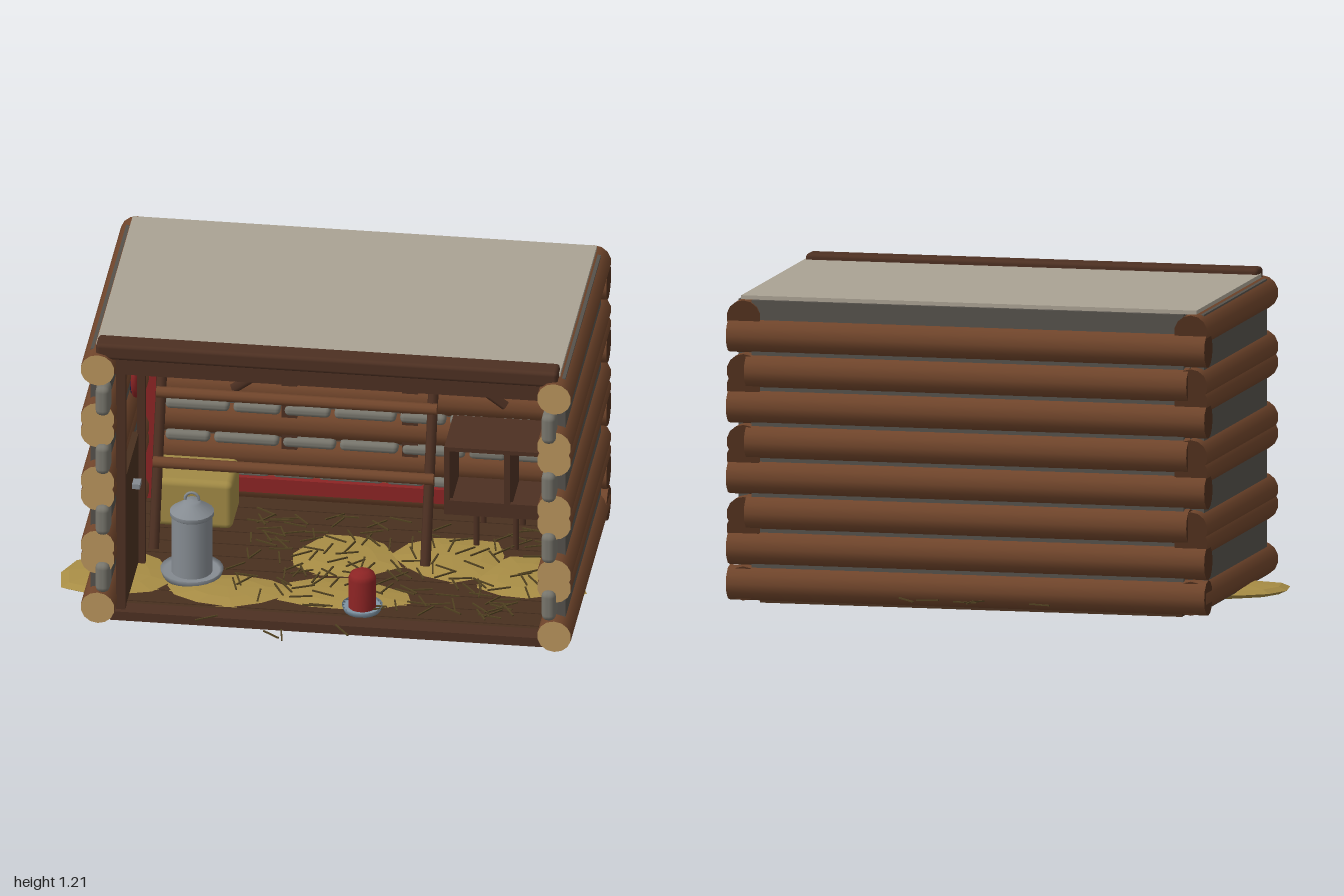
import * as THREE from 'three';
import { RoundedBoxGeometry } from 'three/addons/geometries/RoundedBoxGeometry.js';

const mat = (color, flatShading = false) => new THREE.MeshStandardMaterial({ color, flatShading });
const M = {
  bark: mat(0x70452b), cut: mat(0xb8935c, true), endGrain: mat(0x50301d, true),
  dark: mat(0x4d3022), plank: mat(0x49301f), chink: mat(0x55514b), stone: mat(0x77756c),
  roof: mat(0xaaa293), red: mat(0x8c2424), straw: mat(0xa88d45, true), stick: mat(0x4f4020),
  hay: mat(0xa18a45), metal: mat(0x858b91), pan: mat(0x8095a5), blue: mat(0x1c2a55),
  white: mat(0xd0d0d0), glow: mat(0xd0b46a), iron: mat(0x2a2826),
};

export function createModel() {
  const root = new THREE.Group();
  root.name = 'logCoop';

  const add = (name, geo, material, x, y, z, parent = root) => {
    const m = new THREE.Mesh(geo, material);
    m.name = name;
    m.position.set(x, y, z);
    parent.add(m);
    return m;
  };
  // box given by its extents on each axis
  const box = (name, material, [x0, x1], [y0, y1], [z0, z1]) =>
    add(name, new THREE.BoxGeometry(x1 - x0, y1 - y0, z1 - z0), material,
      (x0 + x1) / 2, (y0 + y1) / 2, (z0 + z1) / 2);
  // round bar between two points
  const bar = (name, material, a, b, r, sides = 8) => {
    const p = new THREE.Vector3(...a), q = new THREE.Vector3(...b);
    const m = add(name, new THREE.CylinderGeometry(r, r, p.distanceTo(q), sides), material, 0, 0, 0);
    m.position.copy(p).add(q).multiplyScalar(0.5);
    m.quaternion.setFromUnitVectors(new THREE.Vector3(0, 1, 0), q.sub(p).normalize());
    return m;
  };
  let seed = 7;
  const rand = (a = 0, b = 1) => {
    seed = (seed * 16807) % 2147483647;
    return a + (b - a) * seed / 2147483647;
  };

  const LEFT = 0.93, RIGHT = -0.81, MID = 0.06, R = 0.065;

  // side walls: single logs at top and bottom, overlapping pairs between
  const sideRows = [0.105, 0.315, 0.37, 0.585, 0.645, 0.855, 0.915, 1.12];
  for (const x of [RIGHT, LEFT]) {
    for (const y of sideRows) {
      const log = bar('sideLog', M.bark, [x, y, -0.565], [x, y, 0.565], R, 14);
      log.material = [M.bark, M.cut, M.endGrain];
    }
    box('sideChinking', M.chink, [x - 0.035, x + 0.035], [0.05, 1.18], [-0.5, 0.505]);
    const inward = Math.sign(MID - x);
    box('sideSill', M.roof, [x + inward * 0.03 - 0.04, x + inward * 0.03 + 0.04], [0.035, 0.05], [-0.5, 0.5]);
    // upright stones closing the gaps at the front
    for (const y of [0.24, 0.485, 0.745, 0.995]) {
      add('frontStone', new RoundedBoxGeometry(0.055, 0.125, 0.09, 2, 0.024), M.stone,
        x - Math.sign(x) * 0.02, y, 0.545);
    }
  }

  // back wall: every second log runs past the corners
  for (let i = 0; i < 8; i++) {
    const y = 1.05 - i * 0.135;
    const past = i % 2 === 0 || i === 7;
    const x0 = past ? -0.87 : -0.8, x1 = past ? 0.99 : 0.92;
    const log = bar('backLog', M.bark, [x0, y, -0.53], [x1, y, -0.53], 0.067, 12);
    log.material = [M.bark, M.endGrain, M.endGrain];
    if (i === 7) break;
    // rounded filler stones between rows
    for (let x = -0.7; x < 0.8;) {
      const w = rand(0.15, 0.27);
      const len = Math.min(w, 0.85 - x);
      add('fillerStone', new RoundedBoxGeometry(len - 0.015, 0.042, 0.05, 2, 0.018), M.stone,
        x + len / 2, y - 0.0675, -0.488);
      x += w;
    }
  }
  box('backPanel', M.chink, [-0.78, 0.9], [0.05, 1.185], [-0.555, -0.515]);
  for (const x of [-0.22, 0.24]) box('backBatten', M.dark, [x - 0.03, x + 0.03], [0.08, 1.1], [-0.5, -0.475]);

  // roof, header and front beam
  box('roof', M.roof, [-0.825, 0.945], [1.185, 1.2], [-0.535, 0.5]);
  box('ceiling', M.dark, [-0.78, 0.9], [1.165, 1.184], [-0.51, 0.48]);
  add('roofBeam', new RoundedBoxGeometry(1.76, 0.065, 0.09, 2, 0.015), M.dark, MID, 1.19, 0.505);
  box('header', M.dark, [-0.76, 0.88], [1.08, 1.16], [0.45, 0.51]);

  // floor planks and sill
  for (let i = 0; i < 10; i++) {
    const z = -0.5 + i * 0.1;
    box('floorPlank', M.plank, [-0.76, 0.88], [0.025, 0.055], [z, z + 0.094]);
  }
  box('floorCore', M.plank, [-0.75, 0.87], [0.032, 0.046], [-0.5, 0.5]);
  box('frontSill', M.dark, [-0.77, 0.89], [0.025, 0.062], [0.43, 0.505]);

  // red trim
  box('redBase', M.red, [-0.74, 0.87], [0.1, 0.16], [-0.475, -0.445]);
  box('redPost', M.red, [-0.765, -0.72], [0.06, 1.08], [-0.475, -0.42]);
  box('redPost', M.red, [0.82, 0.88], [0.06, 1.08], [-0.475, -0.42]);

  // straw heaps, flattened and uneven
  const heaps = [[0.75, 0.02, 0.22, 0.2], [0.45, -0.1, 0.25, 0.21], [0.05, -0.06, 0.24, 0.2],
    [0.08, 0.24, 0.3, 0.15], [-0.36, 0.26, 0.28, 0.15], [-0.77, 0.18, 0.23, 0.2]];
  for (const [x, z, rx, rz] of heaps) {
    const geo = new THREE.SphereGeometry(1, 11, 6);
    const p = geo.attributes.position;
    for (let i = 0; i < p.count; i++) {
      const a = Math.atan2(p.getZ(i), p.getX(i));
      const k = 1 + 0.09 * Math.sin(a * 3 + x * 9) + 0.05 * Math.sin(a * 5 + z * 7);
      p.setXYZ(i, p.getX(i) * k, p.getY(i), p.getZ(i) * k);
    }
    geo.computeVertexNormals();
    add('strawHeap', geo, M.straw, x, 0.04, z).scale.set(rx, 0.029, rz);
  }
  // loose straws
  const straw = (x, z, angle) => {
    const s = add('looseStraw', new THREE.BoxGeometry(0.09, 0.005, 0.006), M.stick, x, 0.073, z);
    s.rotation.set(0, angle, rand(-0.07, 0.07));
  };
  for (let i = 0; i < 150; i++) straw(rand(-0.35, 0.82), rand(-0.35, 0.38), rand(0, 3.14));
  for (const [x, z, a] of [[-0.24, -0.64, -0.35], [0.03, -0.64, 1.55], [0.05, -0.64, 0], [0.02, -0.62, 0.8],
    [0.2, -0.62, -0.15], [0.28, -0.63, -0.7], [-0.14, 0.63, -0.75], [-0.1, 0.63, -1.4],
    [-0.4, 0.53, 0.5], [0.12, 0.56, -0.9]]) straw(x, z, a);

  // leaning perch ladder
  for (const x of [-0.675, 0.36]) bar('perchPost', M.dark, [x, 0.06, -0.02], [x, 0.86, -0.31], 0.02);
  bar('perchRung', M.bark, [-0.69, 0.38, -0.115], [0.38, 0.38, -0.115], 0.022, 10);
  bar('perchRung', M.bark, [-0.69, 0.63, -0.21], [0.38, 0.63, -0.21], 0.022, 10);
  for (const [x, d] of [[-0.32, -1], [0.5, 1]])
    bar('perchBrace', M.dark, [x, 0.62, -0.44], [x + d * 0.11, 0.54, -0.44], 0.02, 4);

  // nest boxes on legs
  box('nestTray', M.dark, [0.41, 0.89], [0.2, 0.225], [-0.44, -0.18]);
  box('nestLip', M.dark, [0.41, 0.89], [0.2, 0.26], [-0.2, -0.18]);
  box('nestTop', M.dark, [0.41, 0.89], [0.47, 0.487], [-0.44, -0.18]);
  for (const x of [0.42, 0.65, 0.88]) box('nestDivider', M.dark, [x - 0.011, x + 0.011], [0.2, 0.48], [-0.44, -0.18]);
  for (const x of [0.53, 0.68, 0.84]) for (const z of [-0.41, -0.21])
    bar('nestLeg', M.dark, [x, 0.05, z], [x, 0.2, z], 0.012, 6);

  // door panel along the right wall
  box('doorPanel', M.plank, [-0.74, -0.715], [0.07, 0.62], [0.1, 0.47]);
  box('doorPost', M.dark, [-0.75, -0.715], [0.05, 1.08], [0.455, 0.485]);
  box('doorPost', M.dark, [-0.72, -0.69], [0.05, 1.08], [0.085, 0.115]);
  box('doorLatch', M.metal, [-0.715, -0.685], [0.48, 0.5], [0.25, 0.3]);

  // round wall plaque
  const plaque = new THREE.Group();
  plaque.name = 'wallPlaque';
  plaque.position.set(-0.745, 0.83, -0.02);
  plaque.rotation.y = Math.PI / 2;
  root.add(plaque);
  add('plaqueRim', new THREE.TorusGeometry(0.1, 0.015, 8, 24), M.red, 0, 0, 0.01, plaque);
  add('plaqueDisc', new THREE.CylinderGeometry(0.1, 0.1, 0.016, 24), M.blue, 0, 0, 0, plaque).rotation.x = Math.PI / 2;
  add('plaqueBar', new THREE.BoxGeometry(0.18, 0.035, 0.01), M.white, 0, 0, 0.008, plaque);
  add('plaqueBar', new THREE.BoxGeometry(0.035, 0.18, 0.01), M.white, 0, 0, 0.008, plaque);

  // hay bale
  add('hayBale', new RoundedBoxGeometry(0.31, 0.2, 0.22, 3, 0.025), M.hay, -0.555, 0.16, -0.31);

  // lathe helper for the turned metal pieces
  const turned = (name, pts, material, x, z) =>
    add(name, new THREE.LatheGeometry(pts.map(p => new THREE.Vector2(...p)), 20), material, x, 0, z);

  // feeder
  turned('feederPan', [[0, 0.055], [0.11, 0.055], [0.12, 0.085], [0.105, 0.075], [0, 0.075]], M.metal, -0.505, 0.16);
  turned('feederBody', [[0.078, 0.07], [0.078, 0.31], [0.078, 0.31], [0.084, 0.315], [0.084, 0.33],
    [0.084, 0.33], [0.035, 0.365], [0.03, 0.375], [0, 0.378]], M.metal, -0.505, 0.16);
  add('feederHandle', new THREE.TorusGeometry(0.026, 0.006, 6, 16), M.metal, -0.505, 0.38, 0.16);

  // drinker
  turned('drinkerPan', [[0, 0.055], [0.07, 0.055], [0.078, 0.077], [0.068, 0.07], [0, 0.07]], M.pan, 0.17, 0.35);
  turned('drinkerBody', [[0.053, 0.065], [0.053, 0.19], [0.045, 0.21], [0.025, 0.222], [0, 0.224]], M.red, 0.17, 0.35);

  // hanging lantern
  bar('lanternWire', M.iron, [0.655, 0.96, 0], [0.655, 1.17, 0], 0.003, 5);
  bar('lanternGlass', M.glow, [0.655, 0.84, 0], [0.655, 0.95, 0], 0.032, 12);
  for (const y of [0.835, 0.957]) bar('lanternCap', M.iron, [0.655, y - 0.008, 0], [0.655, y + 0.008, 0], 0.04, 12);

  return root;
}
